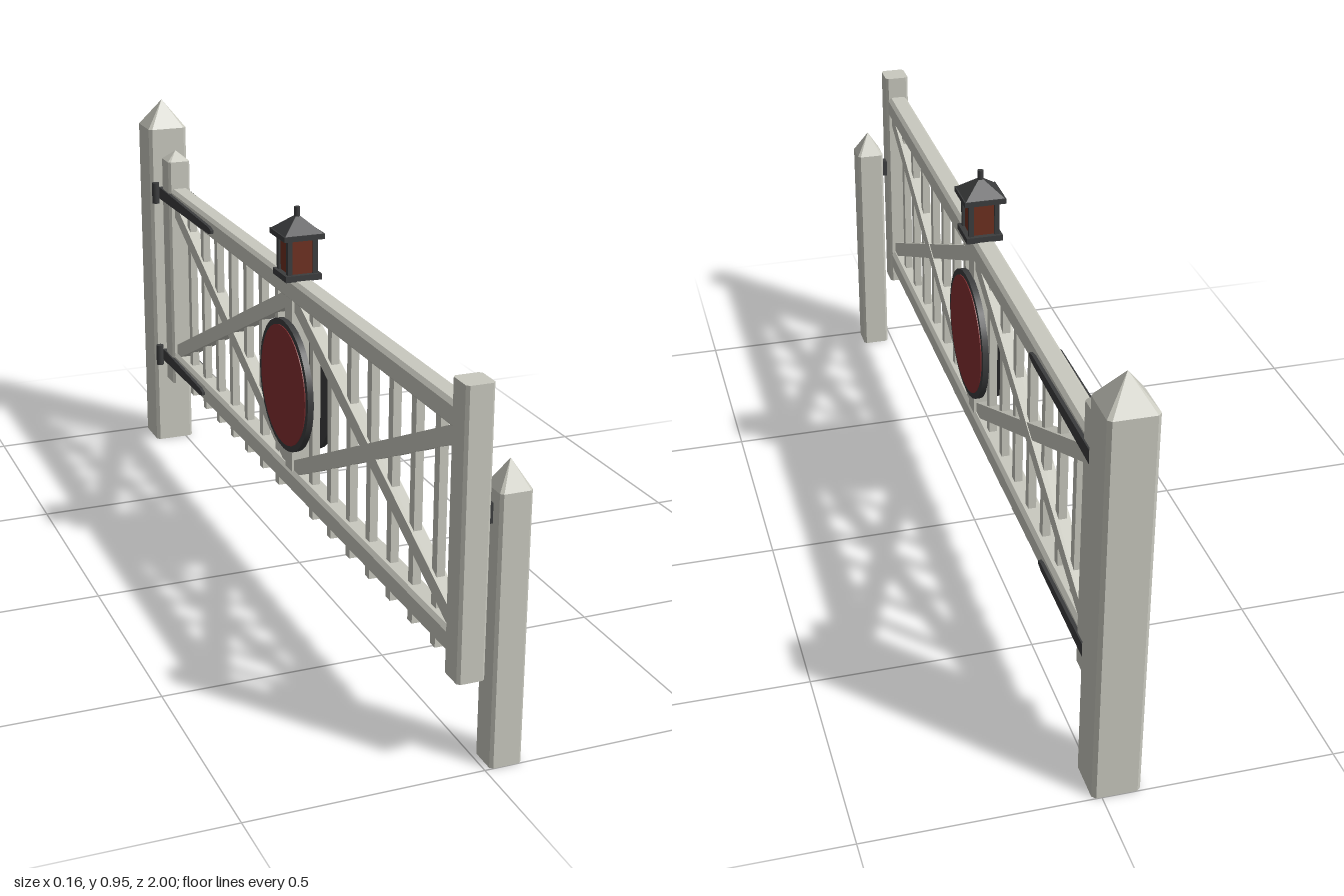
import * as THREE from 'three';

const mat = (name, color) => Object.assign(new THREE.MeshStandardMaterial({ color }), { name });

export function createModel() {
  const paint = mat('pale grey paint', 0xc9c9bf);
  const iron = mat('dark iron', 0x3c3d3e);
  const red = mat('target red', 0x853032);
  const glass = mat('amber red glass', 0x6e3020);

  const model = new THREE.Group();
  model.name = 'crossingGate';

  const add = (parent, name, geo, material, x = 0, y = 0, z = 0) => {
    const m = new THREE.Mesh(geo, material);
    m.name = name;
    m.position.set(x, y, z);
    parent.add(m);
    return m;
  };
  const box = (parent, name, w, h, d, material, x, y, z) =>
    add(parent, name, new THREE.BoxGeometry(w, h, d), material, x, y, z);

  // Corners of a rectangle with chamfered corners, counter-clockwise
  const chamfered = (w, h, c) => {
    const a = w / 2, b = h / 2;
    return [[a, c - b], [a, b - c], [a - c, b], [c - a, b], [-a, b - c], [-a, c - b], [c - a, -b], [a - c, -b]]
      .map(([x, y]) => new THREE.Vector2(x, y));
  };
  // Chamfered bar along z, centred
  const bar = (w, h, len, c) => {
    const g = new THREE.ExtrudeGeometry(new THREE.Shape(chamfered(w, h, c)), { depth: len, bevelEnabled: false });
    return g.translate(0, 0, -len / 2);
  };
  // Chamfered upright with an optional pointed cap
  const post = (parent, name, w, d, y0, y1, apex, c, x, z) => {
    const g = new THREE.Group();
    g.name = name;
    g.position.set(x, 0, z);
    parent.add(g);
    add(g, name + 'Shaft', bar(w, d, y1 - y0, c).rotateX(-Math.PI / 2), paint, 0, (y0 + y1) / 2, 0);
    if (apex > y1) {
      const p = chamfered(w, d, c), pos = [];
      p.forEach((a, i) => {
        const b = p[(i + 1) % p.length];
        pos.push(a.x, y1, -a.y, b.x, y1, -b.y, 0, apex, 0);
      });
      const cap = new THREE.BufferGeometry();
      cap.setAttribute('position', new THREE.Float32BufferAttribute(pos, 3));
      cap.computeVertexNormals();
      add(g, name + 'Cap', cap, paint);
    }
    return g;
  };

  // Fixed posts
  post(model, 'hingePost', 0.103, 0.105, 0, 0.885, 0.955, 0.008, -0.0315, -0.947);
  post(model, 'slamPost', 0.068, 0.068, 0, 0.578, 0.635, 0.006, 0.046, 0.966);

  // Swinging gate
  const gate = new THREE.Group();
  gate.name = 'gate';
  gate.position.x = -0.031;
  model.add(gate);
  const mid = 0.067;

  post(gate, 'latchStile', 0.059, 0.062, 0.193, 0.797, 0, 0.006, 0, 0.96);
  post(gate, 'hingeStile', 0.059, 0.064, 0.197, 0.815, 0.84, 0.006, 0, -0.833);
  add(gate, 'topRail', bar(0.05, 0.053, 1.74, 0.008), paint, 0, 0.7165, 0.065);
  add(gate, 'bottomRail', bar(0.05, 0.053, 1.74, 0.008), paint, 0, 0.2565, 0.065);
  box(gate, 'centreStile', 0.042, 0.42, 0.045, paint, 0, 0.4865, mid);

  // Pickets
  for (let i = -7; i <= 7; i++) {
    if (i) box(gate, 'picket', 0.018, 0.503, 0.022, paint, 0, 0.4485, mid + i * 0.1095);
  }

  // Crossed braces, one pair on each side of the centre stile
  for (const side of [-1, 1]) {
    for (const dir of [-1, 1]) {
      const dz = 0.85, dy = 0.4 * dir;
      const brace = box(gate, 'brace', dir > 0 ? 0.034 : 0.03, 0.036, Math.hypot(dz, dy), paint,
        0, 0.4865, mid + side * 0.445);
      brace.rotation.x = -Math.atan2(dy, dz);
    }
  }

  // Round warning targets on both faces
  for (const side of [-1, 1]) {
    const target = new THREE.Group();
    target.name = 'target';
    target.position.set(side * 0.027, 0.487, mid);
    target.rotation.z = -side * Math.PI / 2;
    gate.add(target);
    add(target, 'targetRim', new THREE.CylinderGeometry(0.155, 0.155, 0.014, 32), iron);
    add(target, 'targetFace', new THREE.CylinderGeometry(0.141, 0.141, 0.003, 32), red, 0, 0.0075, 0);
  }

  // Tapered hinge straps on both faces, with knuckles on the right
  for (const [y, tip] of [[0.716, -0.447], [0.256, -0.54]]) {
    const strap = new THREE.Shape([[0.882, -0.016], [0.882, 0.016], [-tip + 0.02, 0.009], [-tip, 0.004],
      [-tip, -0.004], [-tip + 0.02, -0.009]].map(([a, b]) => new THREE.Vector2(a, b)));
    for (const side of [-1, 1]) {
      const g = new THREE.ExtrudeGeometry(strap, { depth: 0.01, bevelEnabled: false });
      g.translate(0, 0, -0.005).rotateY(Math.PI / 2);
      add(gate, 'hingeStrap', g, iron, side * 0.028, y, 0);
    }
    add(gate, 'hingeKnuckle', new THREE.CylinderGeometry(0.01, 0.01, 0.056, 12), iron, -0.042, y, -0.884);
  }

  // Latch plate between gate and slam post
  box(gate, 'latch', 0.018, 0.042, 0.02, iron, 0.035, 0.53, 0.96);

  // Lantern on the top rail
  const lantern = new THREE.Group();
  lantern.name = 'lantern';
  lantern.position.set(0, 0.742, mid);
  gate.add(lantern);
  box(lantern, 'lanternBase', 0.085, 0.014, 0.085, iron, 0, 0.007, 0);
  box(lantern, 'lanternGlass', 0.06, 0.082, 0.06, glass, 0, 0.054, 0);
  for (const x of [-1, 1]) for (const z of [-1, 1]) {
    box(lantern, 'lanternCorner', 0.011, 0.082, 0.011, iron, x * 0.03, 0.054, z * 0.03);
  }
  box(lantern, 'lanternEaves', 0.096, 0.012, 0.096, iron, 0, 0.1, 0);
  const roof = new THREE.CylinderGeometry(0.008, 0.064, 0.034, 4, 1).rotateY(Math.PI / 4).toNonIndexed();
  roof.computeVertexNormals();
  add(lantern, 'lanternRoof', roof, iron, 0, 0.123, 0);
  add(lantern, 'lanternFinial', new THREE.CylinderGeometry(0.007, 0.007, 0.028, 8), iron, 0, 0.147, 0);

  return model;
}
